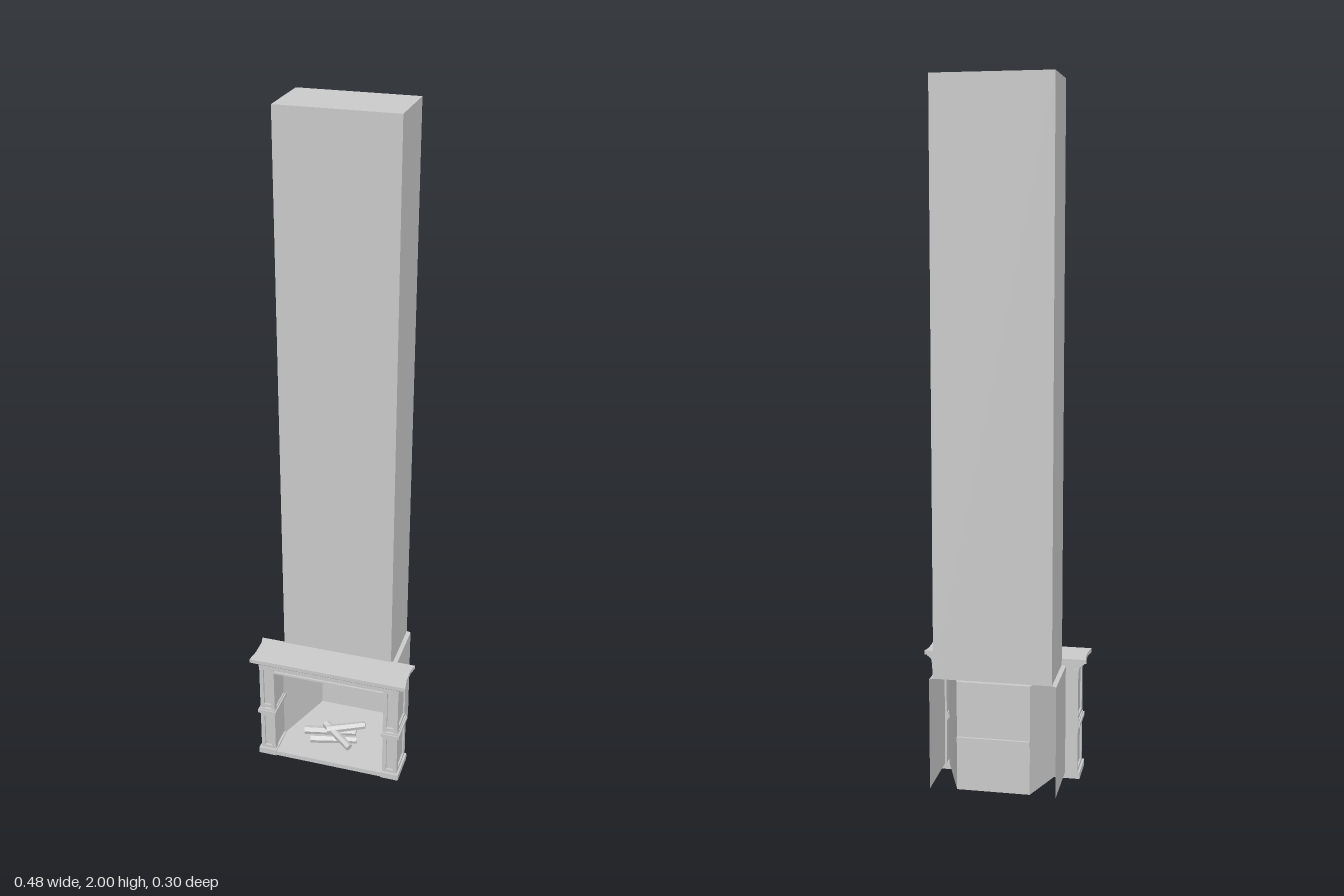
import * as THREE from 'three';

const material = new THREE.MeshStandardMaterial({ color: 0xcccccc, flatShading: true });
const sheet = new THREE.MeshStandardMaterial({ color: 0xcccccc, flatShading: true, side: THREE.DoubleSide });

// box given by its limits on each axis
function block(parent, name, [x0, x1], [y0, y1], [z0, z1]) {
  const mesh = new THREE.Mesh(new THREE.BoxGeometry(x1 - x0, y1 - y0, z1 - z0), material);
  mesh.position.set((x0 + x1) / 2, (y0 + y1) / 2, (z0 + z1) / 2);
  mesh.name = name;
  parent.add(mesh);
  return mesh;
}

// surface from quads, each listed as four corners
function quads(parent, name, list) {
  const pos = [];
  for (const [a, b, c, d] of list) pos.push(...a, ...b, ...c, ...a, ...c, ...d);
  const geo = new THREE.BufferGeometry();
  geo.setAttribute('position', new THREE.Float32BufferAttribute(pos, 3));
  geo.computeVertexNormals();
  const mesh = new THREE.Mesh(geo, sheet);
  mesh.name = name;
  parent.add(mesh);
  return mesh;
}

// moulding along front and both ends: rows of [overhang, y]
function moulding(parent, name, halfX, back, front, rows) {
  const path = ([o, y]) => [
    [halfX + o, y, back], [halfX + o, y, front + o],
    [-halfX - o, y, front + o], [-halfX - o, y, back],
  ];
  const list = [];
  for (let i = 0; i < rows.length - 1; i++) {
    const a = path(rows[i]), b = path(rows[i + 1]);
    for (let k = 0; k < 4; k++) {
      const n = (k + 1) % 4;
      list.push([a[k], b[k], b[n], a[n]]);
    }
  }
  list.push(path(rows[0]));
  return quads(parent, name, list);
}

// irregular six-sided log between two points
function log(parent, a, b, radius) {
  const from = new THREE.Vector3(...a), to = new THREE.Vector3(...b);
  const dir = to.clone().sub(from);
  const mesh = new THREE.Mesh(new THREE.CylinderGeometry(radius * 0.85, radius, dir.length(), 6), material);
  mesh.position.copy(from).add(to).multiplyScalar(0.5);
  mesh.quaternion.setFromUnitVectors(new THREE.Vector3(0, 1, 0), dir.normalize());
  mesh.name = 'log';
  parent.add(mesh);
}

export function createModel() {
  const model = new THREE.Group();
  model.name = 'fireplace';

  // chimney breast and the thin side panels below it
  block(model, 'chimney', [-0.169, 0.169], [0.345, 2], [-0.153, 0.039]);
  for (const s of [-1, 1]) {
    const x = s * 0.181;
    quads(model, 'sidePanel', [[[x, 0.018, -0.153], [x, 0.018, 0.035], [x, 0.342, 0.035], [x, 0.342, -0.153]]]);
    // narrow ledge joining the panel to the chimney
    quads(model, 'panelLedge', [[[x, 0.342, -0.153], [x, 0.342, 0.035], [s * 0.165, 0.347, 0.035], [s * 0.165, 0.347, -0.153]]]);
  }

  // firebox tapering towards the back
  const plan = [[-0.172, 0.05], [-0.105, -0.138], [0.105, -0.138], [0.172, 0.05]];
  const low = 0.016, high = 0.335;
  const walls = [0, 1, 2].map((i) => {
    const [p, q] = [plan[i], plan[i + 1]];
    return [[p[0], low, p[1]], [q[0], low, q[1]], [q[0], high, q[1]], [p[0], high, p[1]]];
  });
  quads(model, 'fireboxWalls', walls);
  quads(model, 'fireboxFloor', [plan.map(([x, z]) => [x, low, z])]);
  quads(model, 'fireboxTop', [plan.map(([x, z]) => [x, high, z])]);
  block(model, 'backRail', [-0.104, 0.104], [0.158, 0.174], [-0.145, -0.131]);

  // hearth slab
  block(model, 'hearth', [-0.222, 0.222], [0, 0.015], [0.035, 0.138]);

  // pilasters with raised borders, base blocks and middle bands
  const right = new THREE.Group(), left = new THREE.Group();
  right.name = 'rightPilaster';
  left.name = 'leftPilaster';
  [[right, -1], [left, 1]].forEach(([g, s]) => {
    const bx = (name, a, b, y, z) => block(g, name, [Math.min(s * a, s * b), Math.max(s * a, s * b)], y, z);
    bx('core', 0.175, 0.213, [0.01, 0.335], [0.035, 0.127]);
    bx('baseBlock', 0.168, 0.224, [0, 0.02], [0.035, 0.141]);
    bx('innerStile', 0.172, 0.184, [0.02, 0.335], [0.115, 0.134]);
    bx('outerStile', 0.206, 0.218, [0.02, 0.335], [0.118, 0.134]);
    bx('rearStile', 0.206, 0.218, [0.02, 0.335], [0.033, 0.05]);
    for (const y of [0.02, 0.145, 0.18, 0.32]) {
      bx('frontBorder', 0.184, 0.206, [y, y + 0.01], [0.12, 0.134]);
      bx('sideBorder', 0.206, 0.218, [y, y + 0.01], [0.05, 0.118]);
    }
    // rounded band from three stacked slabs
    [[0.154, 0.159, 0], [0.159, 0.17, 0.004], [0.17, 0.175, 0]].forEach(([y0, y1, o]) =>
      bx('middleBand', 0.171 - o, 0.22 + o, [y0, y1], [0.035, 0.137 + o]));
    model.add(g);
  });

  // lintel over the opening
  block(model, 'lintel', [-0.176, 0.176], [0.315, 0.34], [0.045, 0.128]);
  block(model, 'lintelLowerTrim', [-0.176, 0.176], [0.313, 0.319], [0.115, 0.134]);
  block(model, 'lintelUpperTrim', [-0.213, 0.213], [0.329, 0.337], [0.04, 0.135]);

  // cornice with a cove under the shelf
  moulding(model, 'cornice', 0.216, 0.035, 0.129,
    [[0, 0.328], [0.004, 0.329], [0.004, 0.335], [0.007, 0.341], [0.012, 0.346], [0.018, 0.349], [0.018, 0.353]]);

  // mantel shelf with hollowed ends
  const half = [[0.242, 0.035], [0.236, 0.06], [0.236, 0.11], [0.242, 0.15]];
  const outline = [...half, ...half.map(([x, z]) => [-x, z]).reverse()];
  const shelf = new THREE.Mesh(
    new THREE.ExtrudeGeometry(new THREE.Shape(outline.map(([x, z]) => new THREE.Vector2(x, z))), { depth: 0.012, bevelEnabled: false }),
    material);
  shelf.rotation.x = Math.PI / 2;
  shelf.position.y = 0.364;
  shelf.name = 'mantelShelf';
  model.add(shelf);

  // pile of logs
  const logs = new THREE.Group();
  logs.name = 'logs';
  log(logs, [-0.11, 0.03, 0.03], [0.05, 0.034, 0.0], 0.014);
  log(logs, [-0.08, 0.03, 0.065], [0.06, 0.03, 0.03], 0.014);
  log(logs, [-0.045, 0.058, 0.015], [0.05, 0.032, 0.075], 0.014);
  log(logs, [-0.035, 0.052, 0.035], [0.08, 0.07, 0.0], 0.014);
  model.add(logs);

  return model;
}
